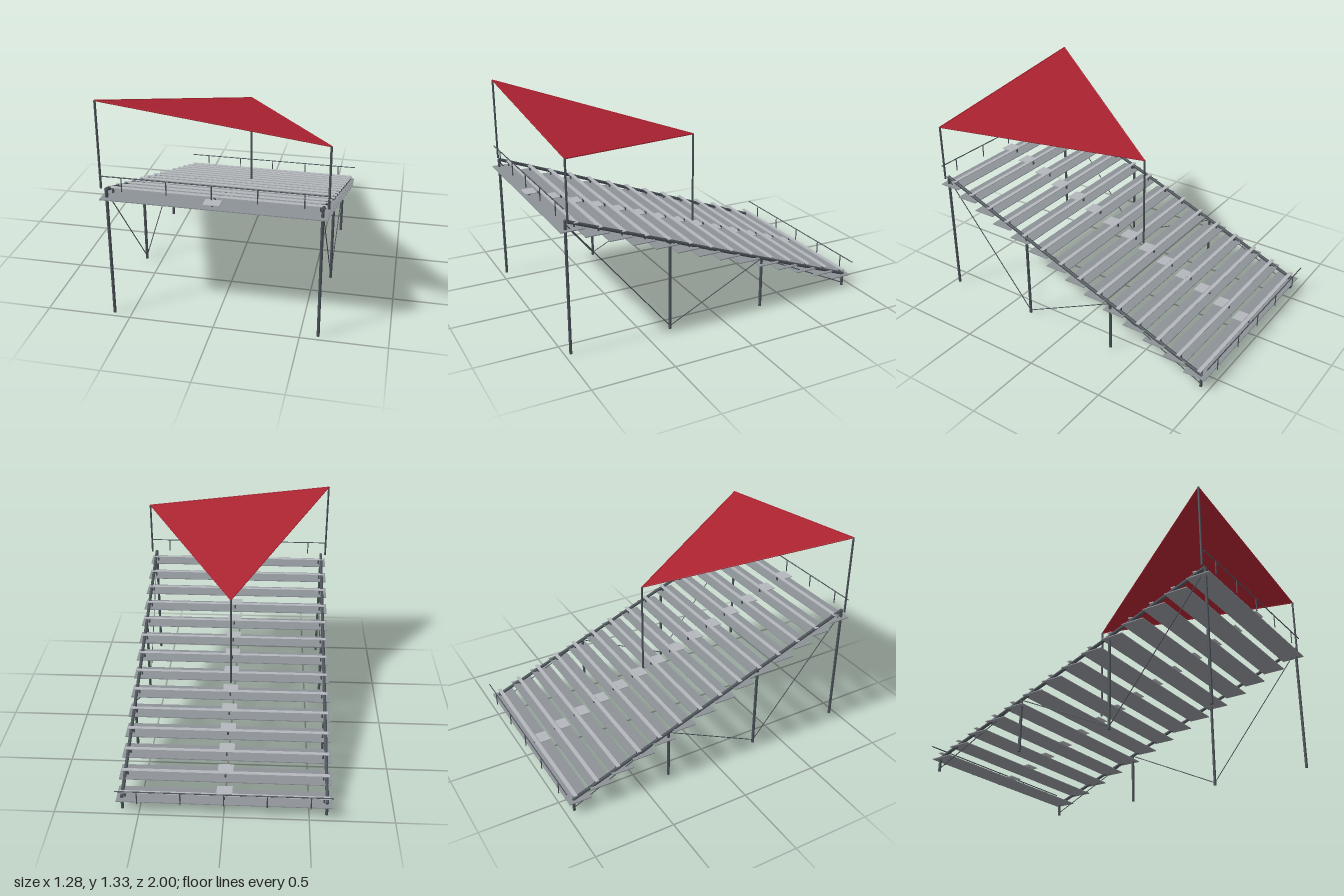
import * as THREE from 'three';

const mat = (name, color) => {
  const m = new THREE.MeshStandardMaterial({ color });
  m.name = name;
  return m;
};

export function createModel() {
  const model = new THREE.Group();
  model.name = 'bleachers';
  const deckGrey = mat('deck grey', 0x8c9196);
  const seatGrey = mat('light grey', 0xb2b6ba);
  const steel = mat('dark steel', 0x4a5157);
  const red = mat('canopy red', 0xab2230);
  red.side = THREE.DoubleSide;

  const add = (name, geometry, material) => {
    const mesh = new THREE.Mesh(geometry, material);
    mesh.name = name;
    model.add(mesh);
    return mesh;
  };
  const box = (name, w, h, d, x, y, z, material) =>
    add(name, new THREE.BoxGeometry(w, h, d), material).position.set(x, y, z);
  // round bar between two points
  const bar = (name, a, b, r, material = steel, sides = 10) => {
    const p = new THREE.Vector3(...a), q = new THREE.Vector3(...b);
    const dir = q.clone().sub(p);
    const mesh = add(name, new THREE.CylinderGeometry(r, r, dir.length(), sides), material);
    mesh.position.copy(p).add(q).multiplyScalar(0.5);
    mesh.quaternion.setFromUnitVectors(new THREE.Vector3(0, 1, 0), dir.normalize());
  };

  // fourteen rows: deck board, narrow seat on stems, half step in the aisle
  const rows = 14, run = 0.1417, rise = 0.0523;
  for (let i = 0; i < rows; i++) {
    const y = 0.078 + i * rise, z = -0.912 + i * run;
    box('deckBoard', 1.268, 0.005, 0.142, 0, y, z, deckGrey);
    box('seat', 1.24, 0.005, 0.025, 0, y + 0.036, z - 0.025, seatGrey);
    for (const x of [-0.585, 0, 0.585])
      box('seatStem', 0.01, 0.034, 0.008, x, y + 0.017, z - 0.025, steel);
    box('aisleStep', 0.094, 0.004, 0.07, 0, y + 0.026, z + 0.032, seatGrey);
    box('stepStem', 0.012, 0.025, 0.01, 0, y + 0.013, z + 0.032, steel);
  }

  // side frames: sloping beam, legs and thin braces
  const legs = [[-0.945, 0.083], [-0.305, 0.325], [0.33, 0.567], [0.963, 0.81]];
  for (const s of [-1, 1]) {
    const x = s * 0.603;
    bar('sideBeam', [x, 0.083, -0.948], [x, 0.81, 0.966], 0.0105);
    for (const [z, top] of legs) bar('leg', [x, 0, z], [x, top, z], 0.009);
    bar('brace', [x, 0.79, 0.96], [x, 0.018, 0.33], 0.003, steel, 6);
    bar('brace', [x, 0.018, 0.33], [x, 0.325, -0.305], 0.003, steel, 6);
    bar('brace', [x, 0.325, -0.305], [x, 0.018, -0.945], 0.003, steel, 6);
  }

  // guard rails at the low and high ends
  for (const [y, z] of [[0.08, -0.997], [0.81, 0.98]]) {
    bar('guardRail', [-0.634, y + 0.084, z], [0.634, y + 0.084, z], 0.0035, steel, 8);
    for (let i = -2; i <= 2; i++)
      bar('railPost', [i * 0.2535, y, z], [i * 0.2535, y + 0.084, z], 0.0035, steel, 8);
  }

  // triangular shade sail on three masts
  const corners = [[-0.634, 1.328, 0.96], [0.634, 1.17, 0.96], [0, 0.99, -0.148]];
  const sail = new THREE.BufferGeometry();
  sail.setAttribute('position', new THREE.Float32BufferAttribute(corners.flat(), 3));
  sail.computeVertexNormals();
  add('canopy', sail, red);
  corners.forEach((c, i) => {
    bar('canopyHem', c, corners[(i + 1) % 3], 0.004, red, 6);
    bar('canopyMast', [c[0], i < 2 ? 0.81 : 0.39, c[2]], c, 0.0065);
  });

  return model;
}
